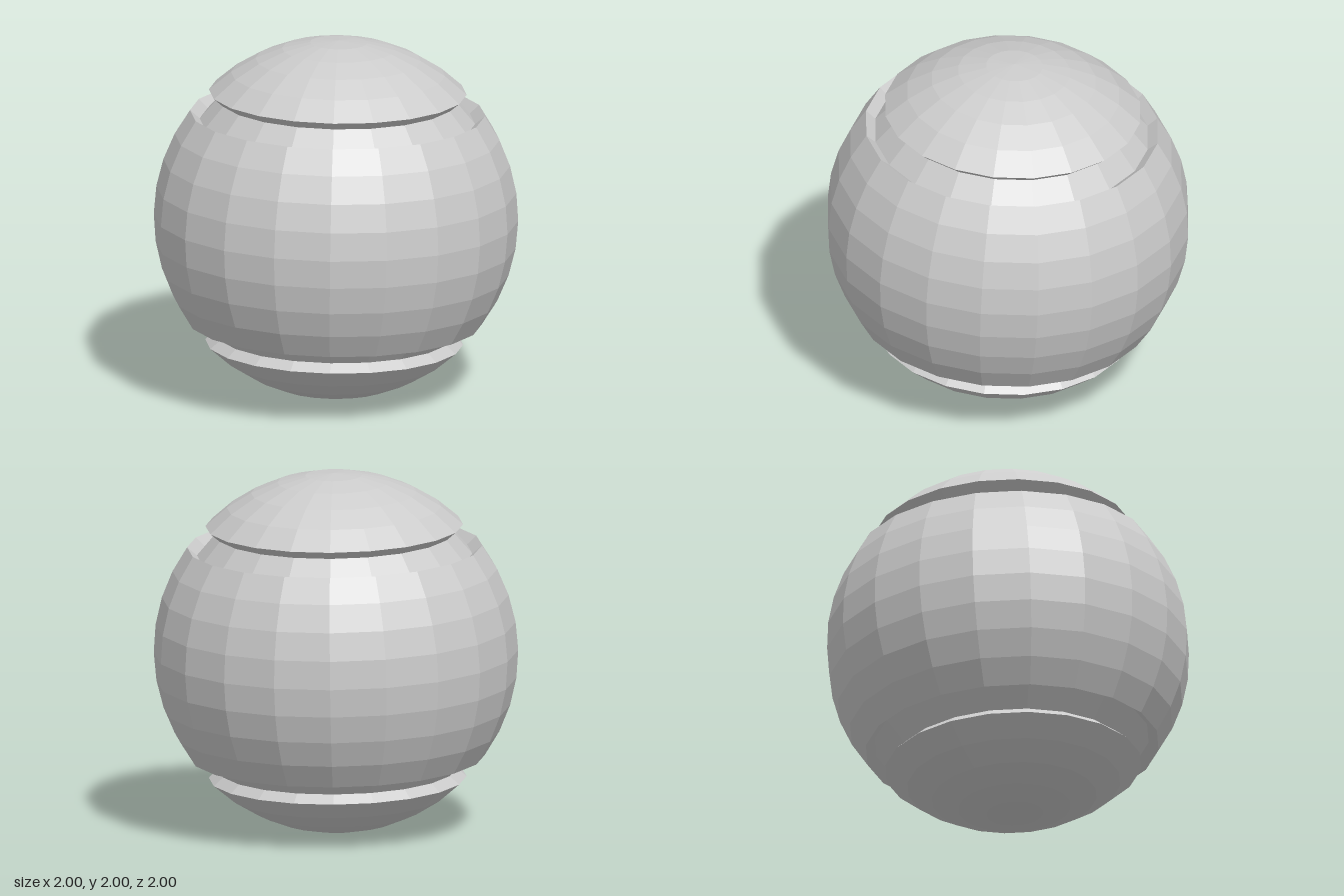
import * as THREE from 'three';

const SIDES = 20;
const STEP = Math.PI / 20; // nine degrees of latitude per row
const GROOVE_DEPTH = 0.07;

// Point of the ball's profile at a latitude row (-10 = bottom pole, 10 = top pole)
function rowPoint(row) {
  const r = Math.abs(row) === 10 ? 0 : Math.cos(row * STEP);
  return new THREE.Vector2(r, Math.sin(row * STEP));
}

function rows(from, to) {
  const points = [];
  for (let row = from; row <= to; row++) points.push(rowPoint(row));
  return points;
}

// One row of faces pushed straight into the ball: wall, floor, wall
function groove(row) {
  const lat = (row + 0.5) * STEP;
  const push = new THREE.Vector2(Math.cos(lat), Math.sin(lat)).multiplyScalar(GROOVE_DEPTH);
  const low = rowPoint(row);
  const high = rowPoint(row + 1);
  return [low, low.clone().sub(push), high.clone().sub(push), high];
}

export function createModel() {
  const material = new THREE.MeshStandardMaterial({ color: 0xcccccc, flatShading: true });
  const ball = new THREE.Group();
  ball.name = 'ball';

  // Profiles run from bottom to top
  const parts = {
    bottomCap: rows(-10, -5),
    bottomGroove: groove(-5),
    middleBand: rows(-4, 4),
    topGroove: groove(4),
    topCap: rows(5, 10),
  };
  for (const [name, profile] of Object.entries(parts)) {
    const mesh = new THREE.Mesh(new THREE.LatheGeometry(profile, SIDES), material);
    mesh.name = name;
    ball.add(mesh);
  }

  // The ball leans slightly backwards
  ball.rotation.x = -0.04;
  ball.position.y = 1;

  const model = new THREE.Group();
  model.name = 'groovedBall';
  model.add(ball);
  return model;
}
